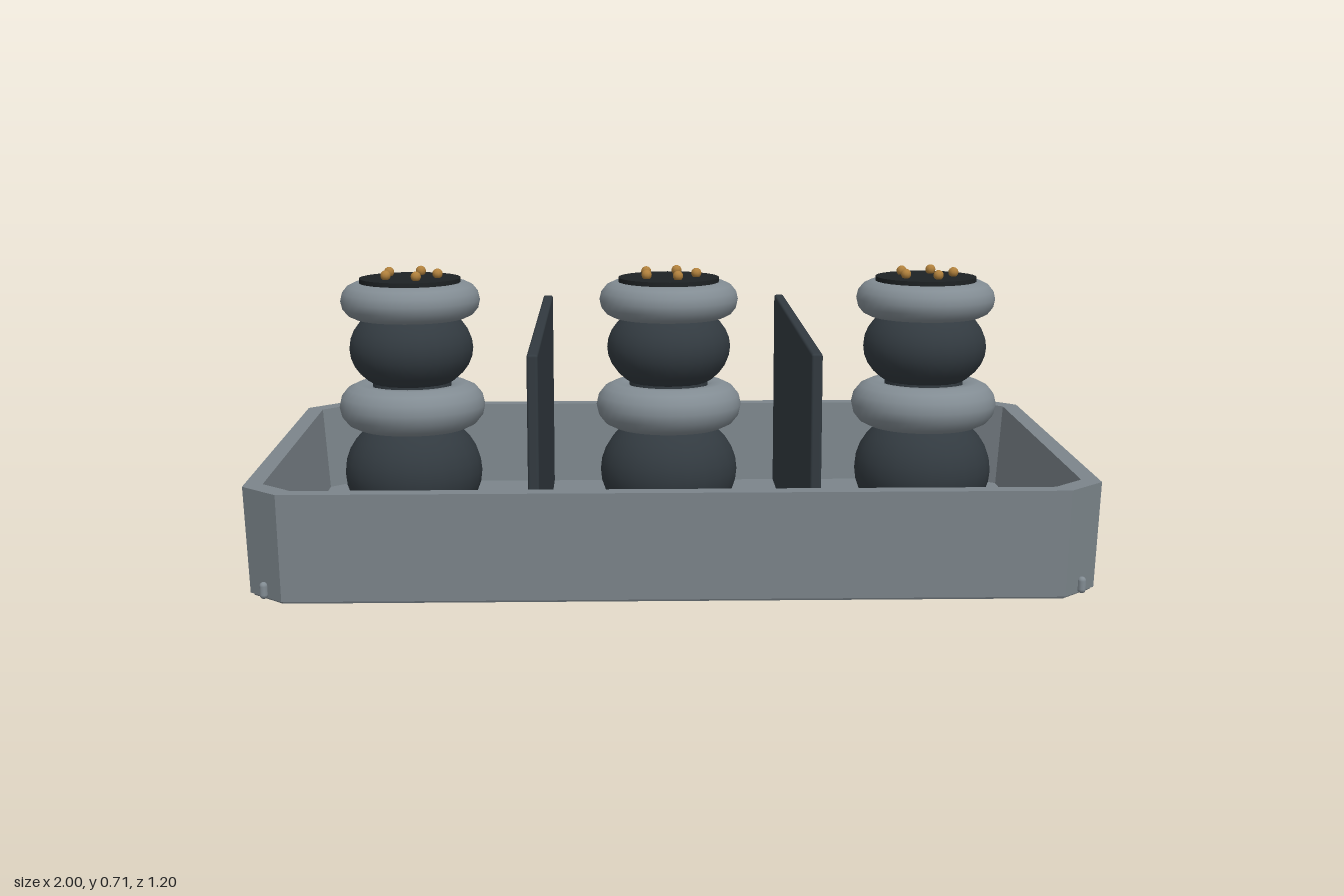
import * as THREE from 'three';
import { RoundedBoxGeometry } from 'three/addons/geometries/RoundedBoxGeometry.js';

const mat = (color, extra = {}) => new THREE.MeshStandardMaterial({ color, ...extra });
const grey = mat(0x7c858b, { flatShading: true });
const ringGrey = mat(0x828c93);
const dark = mat(0x323a40);
const black = mat(0x1e2224);
const brass = mat(0xb0803c);

function add(parent, name, geometry, material, x = 0, y = 0, z = 0) {
  const mesh = new THREE.Mesh(geometry, material);
  mesh.name = name;
  mesh.position.set(x, y, z);
  parent.add(mesh);
  return mesh;
}

// Rectangle with chamfered corners at height y, counter-clockwise seen from above
function octagon(w, d, c, y) {
  return [[w, d - c], [w, c - d], [w - c, -d], [c - w, -d], [-w, c - d], [-w, d - c], [c - w, d], [w - c, d]]
    .map(([x, z]) => new THREE.Vector3(x, y, z));
}

// Skin a row of matching loops and close the first and last with flat ends
function loft(loops) {
  const pts = [];
  const n = loops[0].length;
  for (let k = 0; k < loops.length - 1; k++) {
    const a = loops[k], b = loops[k + 1];
    for (let i = 0; i < n; i++) {
      const j = (i + 1) % n;
      pts.push(a[i], a[j], b[j], a[i], b[j], b[i]);
    }
  }
  const first = loops[0], last = loops[loops.length - 1];
  for (let i = 1; i < n - 1; i++) {
    pts.push(first[0], first[i + 1], first[i]);
    pts.push(last[0], last[i], last[i + 1]);
  }
  const g = new THREE.BufferGeometry().setFromPoints(pts);
  g.computeVertexNormals();
  return g;
}

// One stack of cushions and rings with a studded cap
function createStack() {
  const stack = new THREE.Group();
  stack.name = 'stack';
  add(stack, 'core', new THREE.CylinderGeometry(0.1, 0.1, 0.6, 20), dark, 0, 0.37, 0);
  for (const [name, r, h, y] of [['lowerBall', 0.175, 0.15, 0.19], ['upperBall', 0.157, 0.115, 0.508]]) {
    add(stack, name, new THREE.SphereGeometry(r, 24, 16).scale(1, h / r, 1), dark, 0, y, 0);
  }
  for (const [name, R, tube, y] of [['lowerRing', 0.127, 0.058, 0.36], ['upperRing', 0.13, 0.046, 0.63]]) {
    add(stack, name, new THREE.TorusGeometry(R, tube, 14, 36).rotateX(Math.PI / 2), ringGrey, 0, y, 0);
  }
  add(stack, 'cap', new THREE.CylinderGeometry(0.128, 0.128, 0.018, 28), black, 0, 0.677, 0);
  const stud = new THREE.SphereGeometry(0.013, 10, 8);
  for (let i = 0; i < 5; i++) {
    const a = (i / 5) * Math.PI * 2;
    add(stack, 'stud', stud, brass, Math.cos(a) * 0.07, 0.696, Math.sin(a) * 0.07);
  }
  return stack;
}

export function createModel() {
  const model = new THREE.Group();
  model.name = 'dividedTray';

  // Tray with tapered walls, thick rim and recessed floor
  add(model, 'tray', loft([
    octagon(0.99, 0.59, 0.085, 0.006),
    octagon(1, 0.6, 0.09, 0.26),
    octagon(0.957, 0.558, 0.075, 0.26),
    octagon(0.94, 0.545, 0.07, 0.04),
  ]), grey);
  add(model, 'basePlate', loft([
    octagon(0.982, 0.582, 0.08, 0),
    octagon(0.982, 0.582, 0.08, 0.012),
  ]), mat(0x5f666b, { flatShading: true }));

  // Small pegs at the foot of each chamfered corner
  const peg = new THREE.CapsuleGeometry(0.01, 0.02, 4, 10);
  for (const sx of [-1, 1]) {
    for (const sz of [-1, 1]) add(model, 'cornerPeg', peg, ringGrey, sx * 0.951, 0.024, sz * 0.553);
  }

  // Two upright panels between three bays
  const panel = new RoundedBoxGeometry(0.026, 0.54, 1.104, 2, 0.006);
  for (const sx of [-1, 1]) add(model, 'divider', panel, dark, sx * 0.325, 0.302, 0);

  for (const x of [-0.655, 0, 0.655]) {
    const stack = createStack();
    stack.position.x = x;
    model.add(stack);
  }
  return model;
}
